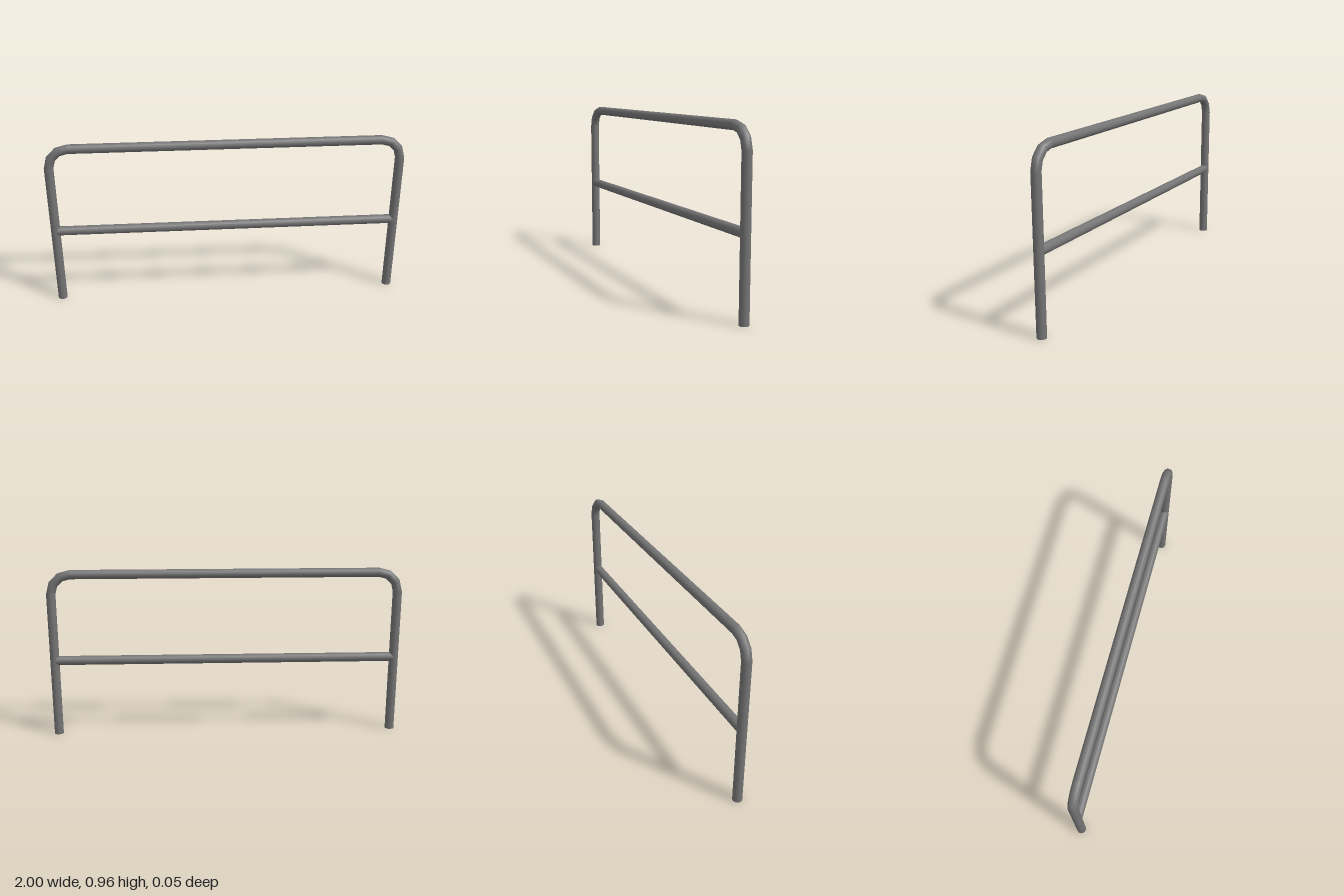
import * as THREE from 'three';

const RADIUS = 0.026;
const SIDES = 16;

// Centre line of the hoop: [x, y, heading], up one leg, over the top, down the other
function hoopPath() {
  const legX = 0.974, topY = 0.934, bend = 0.11, steps = 3;
  const half = [];
  half.push([-legX, 0, Math.PI / 2]);
  for (let i = 0; i <= steps; i++) {
    const a = (i / steps) * Math.PI / 2;
    half.push([
      -legX + bend - bend * Math.cos(a),
      topY - bend + bend * Math.sin(a),
      Math.PI / 2 - a,
    ]);
  }
  const mirrored = half.map(([x, y, a]) => [-x, y, -a]).reverse();
  return [...half, ...mirrored];
}

// Bends a straight capped cylinder along the path, one ring per path point
function bentPipe(path) {
  const spans = path.length - 1;
  const geo = new THREE.CylinderGeometry(RADIUS, RADIUS, spans, SIDES, spans);
  const pos = geo.attributes.position, nor = geo.attributes.normal;
  for (let i = 0; i < pos.count; i++) {
    const [px, py, a] = path[Math.round(pos.getY(i) + spans / 2)];
    const tx = Math.cos(a), ty = Math.sin(a);
    const side = pos.getX(i), nx = nor.getX(i), ny = nor.getY(i);
    pos.setXY(i, px + side * ty, py - side * tx);
    nor.setXY(i, nx * ty + ny * tx, -nx * tx + ny * ty);
  }
  return geo;
}

export function createModel() {
  const model = new THREE.Group();
  model.name = 'tubularBarrier';

  const steel = new THREE.MeshStandardMaterial({ color: 0x747474 });
  steel.name = 'grey steel';

  // Legs and top rail as one continuous bent pipe
  const hoop = new THREE.Mesh(bentPipe(hoopPath()), steel);
  hoop.name = 'hoopFrame';
  model.add(hoop);

  // Straight middle rail, ends buried in the legs
  const rail = new THREE.Mesh(
    new THREE.CylinderGeometry(RADIUS, RADIUS, 1.94, SIDES), steel);
  rail.name = 'middleRail';
  rail.rotation.z = Math.PI / 2;
  rail.position.y = 0.44;
  model.add(rail);

  return model;
}
